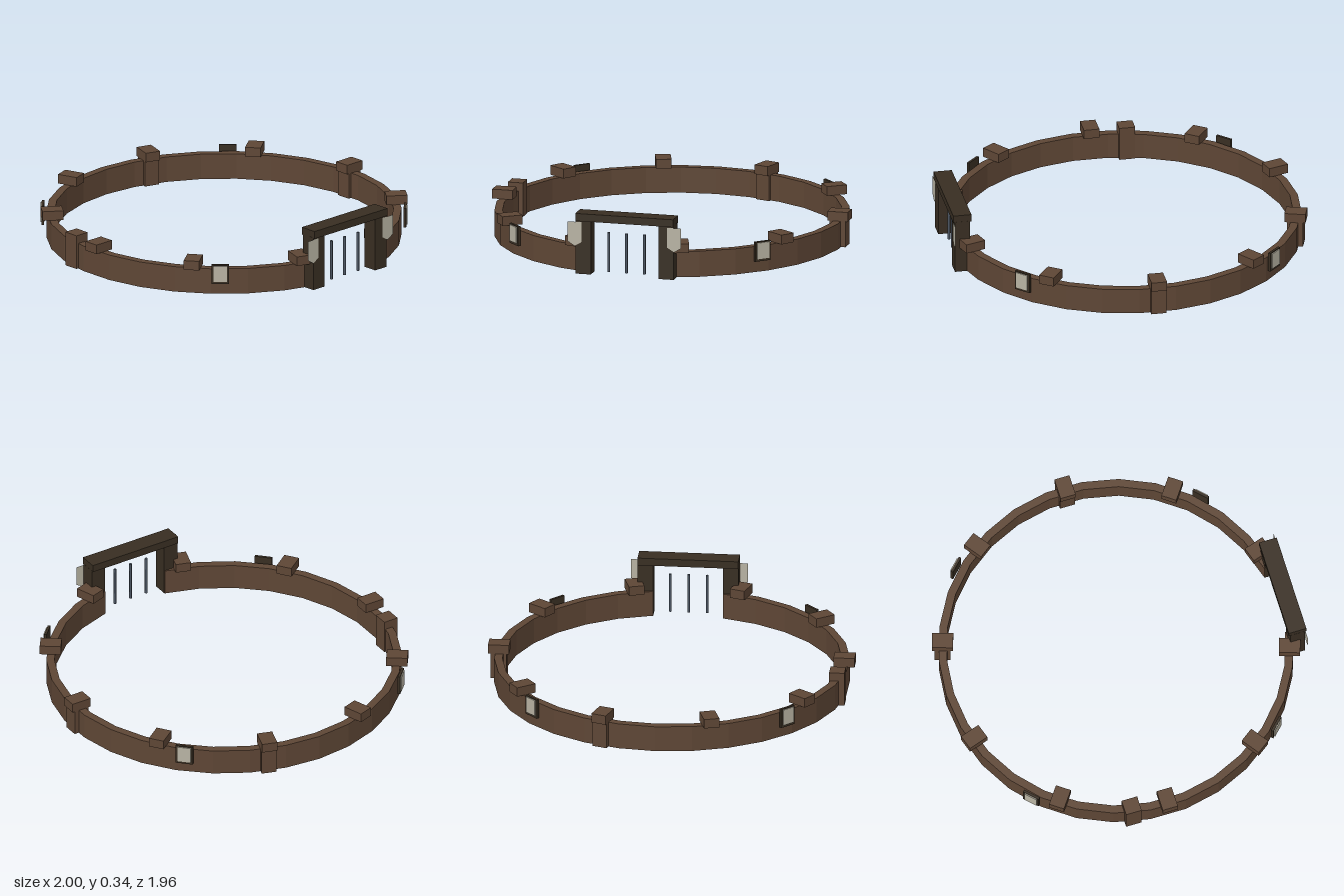
import * as THREE from 'three';

const CENTER_Z = -0.018;
const RADIUS = 0.94;
const rad = THREE.MathUtils.degToRad;

export function createModel() {
  const model = new THREE.Group();
  model.name = 'ringFort';

  const mat = (name, color, side = THREE.FrontSide) => {
    const m = new THREE.MeshStandardMaterial({ color, side });
    m.name = name;
    return m;
  };
  const wood = mat('brown wood', 0x5e4635);
  const darkWood = mat('dark wood', 0x382e22);
  const pale = mat('pale cloth', 0xb8b3a3, THREE.DoubleSide);
  const iron = mat('iron', 0x4c5663);

  const add = (parent, name, geometry, material, x = 0, y = 0, z = 0) => {
    const mesh = new THREE.Mesh(geometry, material);
    mesh.name = name;
    mesh.position.set(x, y, z);
    parent.add(mesh);
    return mesh;
  };
  const box = (parent, name, size, material, x, y, z) =>
    add(parent, name, new THREE.BoxGeometry(...size), material, x, y, z);

  // Group on the ring, angle measured from the back; its +z points outward
  const ringSpot = (name, degrees, radius) => {
    const g = new THREE.Group();
    const a = rad(degrees);
    g.name = name;
    g.position.set(radius * Math.sin(a), 0, CENTER_Z - radius * Math.cos(a));
    g.rotation.y = Math.PI - a;
    model.add(g);
    return g;
  };

  // Faceted ring wall, open at the gate
  const outer = [], inner = [];
  for (let d = -168; d <= 168; d += 12) {
    const s = Math.sin(rad(d)), c = Math.cos(rad(d));
    outer.push(new THREE.Vector2(0.963 * s, 0.963 * c));
    inner.unshift(new THREE.Vector2(0.919 * s, 0.919 * c));
  }
  const wall = new THREE.ExtrudeGeometry(new THREE.Shape([...outer, ...inner]), {
    depth: 0.143, bevelEnabled: false,
  });
  wall.rotateX(-Math.PI / 2);
  add(model, 'wall', wall, wood, 0, 0, CENTER_Z);

  // Merlons every 36 degrees
  for (let i = 0; i < 10; i++) {
    const g = ringSpot('merlon', 18 + i * 36, RADIUS);
    box(g, 'merlonBlock', [0.085, 0.052, 0.115], wood, 0, 0.169, 0);
  }

  // Full-height wall posts
  for (const d of [18, 90, -78]) {
    const g = ringSpot('wallPost', d, RADIUS);
    if (d === -78) g.rotation.y = 0;
    box(g, 'postColumn', [0.084, 0.19, 0.088], wood, 0, 0.095, 0);
  }

  // Framed plaques on the outside
  for (const d of [45, 135, -45, -135]) {
    const g = ringSpot('plaque', d, 0.983);
    box(g, 'plaqueFrame', [0.095, 0.11, 0.014], darkWood, 0, 0.12, -0.002);
    box(g, 'plaquePanel', [0.073, 0.09, 0.006], pale, 0, 0.124, 0.008);
  }

  // Gate: posts, lintel, bars
  const gate = new THREE.Group();
  gate.name = 'gate';
  gate.position.z = 0.926;
  model.add(gate);
  box(gate, 'lintel', [0.548, 0.042, 0.1], darkWood, 0, 0.317, 0);
  for (const s of [-1, 1]) {
    box(gate, 'gatePost', [0.085, 0.3, 0.082], darkWood, s * 0.232, 0.15, 0);
  }
  for (const x of [-0.1, 0, 0.1]) {
    add(gate, 'gateBar', new THREE.CylinderGeometry(0.008, 0.008, 0.22, 6), iron, x, 0.121, 0);
  }

  // Pointed banners in front of the gate posts
  const banner = new THREE.Shape([
    [-0.04, 0.29], [-0.04, 0.18], [0, 0.155], [0.04, 0.18], [0.04, 0.29],
  ].map((p) => new THREE.Vector2(...p)));
  for (const s of [-1, 1]) {
    add(gate, 'banner', new THREE.ShapeGeometry(banner), pale, s * 0.279, 0, 0.046);
  }

  return model;
}
